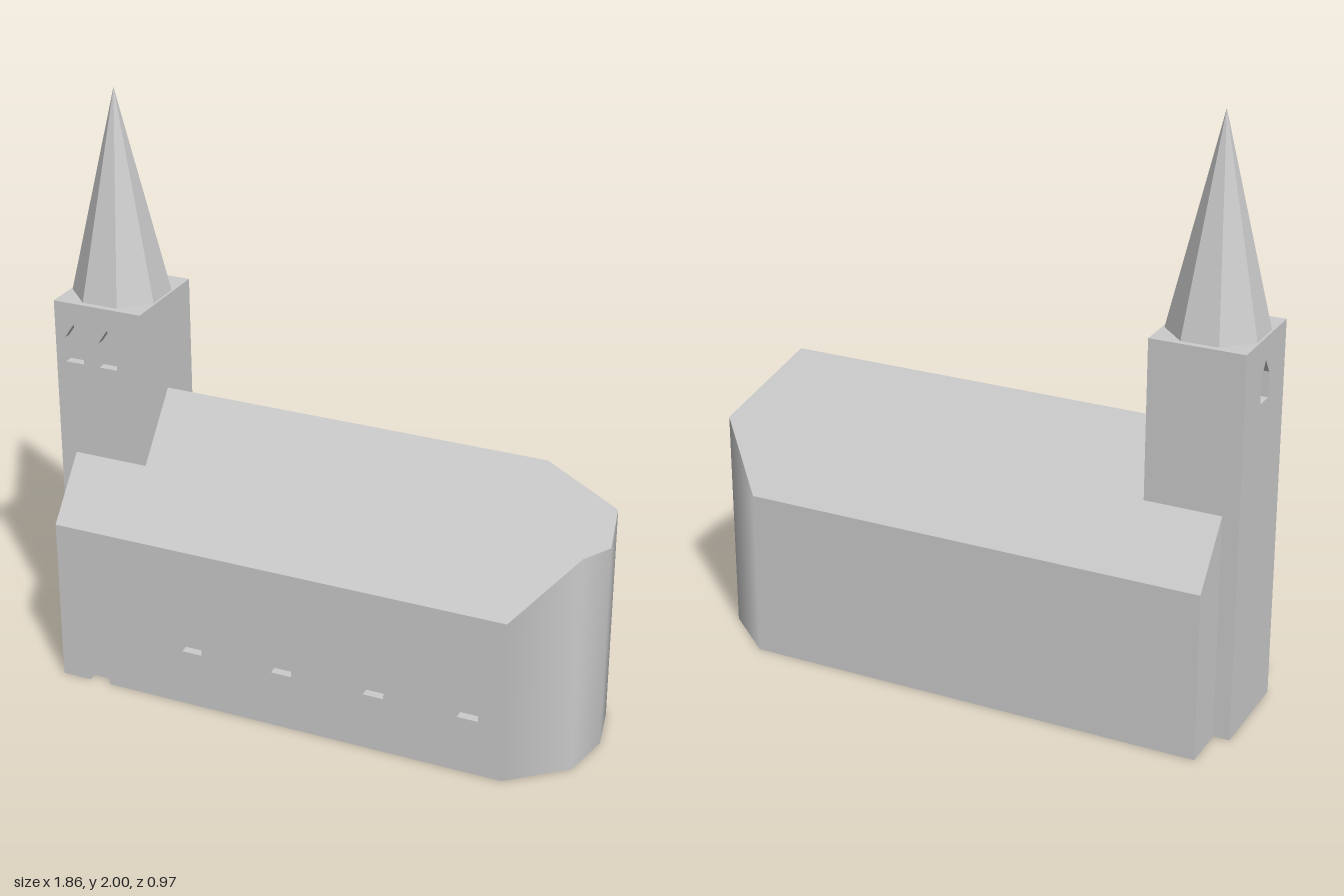
import * as THREE from 'three';

const stone = new THREE.MeshStandardMaterial({ color: 0xcccccc });
stone.name = 'pale stone';

const DEPTH = 0.03; // depth of window and door recesses

function add(parent, name, geometry) {
  const mesh = new THREE.Mesh(geometry, stone);
  mesh.name = name;
  parent.add(mesh);
  return mesh;
}

// Box given by its lower and upper limits
function block(parent, name, [x0, x1], [y0, y1], [z0, z1]) {
  const g = new THREE.BoxGeometry(x1 - x0, y1 - y0, z1 - z0);
  g.translate((x0 + x1) / 2, (y0 + y1) / 2, (z0 + z1) / 2);
  return add(parent, name, g);
}

// Wall slab with openings, its outer face at distance `out` along the turned z axis
function wall(parent, name, outline, openings, out, turn) {
  const side = turn === Math.PI ? -1 : 1;
  const vec = ([x, y]) => new THREE.Vector2(x * side, y);
  const shape = new THREE.Shape(outline.map(vec));
  for (const o of openings) shape.holes.push(new THREE.Path(o.map(vec)));
  const g = new THREE.ExtrudeGeometry(shape, { depth: DEPTH, bevelEnabled: false });
  g.translate(0, 0, out - DEPTH);
  g.rotateY(turn);
  return add(parent, name, g);
}

const rect = (x0, x1, y0, y1) => [[x0, y0], [x1, y0], [x1, y1], [x0, y1]];
const naveWindow = (x) => rect(x - 0.036, x + 0.036, 0.2, 0.415);
const belfryWindow = (x) => [
  [x - 0.033, 1.1], [x + 0.033, 1.1], [x + 0.033, 1.185], [x, 1.235], [x - 0.033, 1.185],
];

function buildNave(church) {
  const nave = new THREE.Group();
  nave.name = 'nave';
  church.add(nave);
  const west = -0.86, east = 0.732, half = 0.332, eaves = 0.575, ridge = 0.985;
  const inner = half - DEPTH;

  block(nave, 'naveCore', [west, east], [0, eaves], [-inner, inner]);

  // Side walls with four windows each, the south one with a doorway
  const windows = [-0.364, -0.038, 0.288, 0.612].map(naveWindow);
  const southOutline = [
    [west, 0], [-0.757, 0], [-0.757, 0.222], [-0.682, 0.222], [-0.682, 0],
    [east, 0], [east, eaves], [west, eaves],
  ];
  wall(nave, 'southWall', southOutline, windows, half, 0);
  wall(nave, 'northWall', rect(west, east, 0, eaves), windows, half, Math.PI);

  // Gabled roof
  const gable = new THREE.Shape([
    new THREE.Vector2(-half, eaves), new THREE.Vector2(half, eaves), new THREE.Vector2(0, ridge),
  ]);
  const roof = new THREE.ExtrudeGeometry(gable, { depth: east - west, bevelEnabled: false });
  roof.rotateY(Math.PI / 2);
  roof.translate(west, 0, 0);
  add(nave, 'naveRoof', roof);

  // Rounded apse: plan points with wall heights, from south to north
  const plan = [
    [east, eaves, half], [0.915, 0.766, 0.177], [0.951, 0.723, 0],
    [0.915, 0.766, -0.177], [east, eaves, -half],
  ];
  const pos = [], index = [], roofPos = [], floorPos = [];
  plan.forEach(([x, y, z], i) => {
    pos.push(x, 0, z, x, y, z);
    if (i === plan.length - 1) return;
    const a = i * 2, next = plan[i + 1];
    index.push(a, a + 2, a + 3, a, a + 3, a + 1);
    roofPos.push(east, ridge, 0, x, y, z, ...next);
    floorPos.push(east, 0, 0, next[0], 0, next[2], x, 0, z);
  });
  const apse = new THREE.BufferGeometry();
  apse.setAttribute('position', new THREE.Float32BufferAttribute(pos, 3));
  apse.setIndex(index);
  apse.computeVertexNormals();
  // Blend the apse smoothly into the straight walls
  for (const i of [0, 1]) {
    apse.attributes.normal.setXYZ(i, 0, 0, 1);
    apse.attributes.normal.setXYZ(8 + i, 0, 0, -1);
  }
  add(nave, 'apseWall', apse);

  for (const [name, points] of [['apseRoof', roofPos], ['apseFloor', floorPos]]) {
    const g = new THREE.BufferGeometry();
    g.setAttribute('position', new THREE.Float32BufferAttribute(points, 3));
    g.computeVertexNormals();
    add(nave, name, g);
  }
}

function buildTower(church) {
  const tower = new THREE.Group();
  tower.name = 'tower';
  church.add(tower);
  const west = -0.916, east = -0.6, half = 0.172, top = 1.31;
  const inner = half - DEPTH;

  block(tower, 'towerCore', [west + DEPTH, east], [0, top], [-inner, inner]);

  // Paired belfry windows north and south, a single one to the west
  const pair = [-0.848, -0.724].map(belfryWindow);
  wall(tower, 'towerSouthWall', rect(west, east, 0, top), pair, half, 0);
  wall(tower, 'towerNorthWall', rect(west, east, 0, top), pair, half, Math.PI);
  wall(tower, 'towerWestWall', rect(-inner, inner, 0, top), [belfryWindow(0)], -west, -Math.PI / 2);

  // Eight-sided spire
  const cone = new THREE.ConeGeometry(0.163, 2 - top, 8, 1).toNonIndexed();
  cone.computeVertexNormals();
  cone.rotateY(Math.PI / 8);
  cone.translate((west + east) / 2, (2 + top) / 2, 0);
  add(tower, 'spire', cone);
}

export function createModel() {
  const model = new THREE.Group();
  model.name = 'church';
  const church = new THREE.Group();
  church.name = 'churchBody';
  buildNave(church);
  buildTower(church);
  // The building stands slightly turned on its plot
  church.rotation.y = -0.199;
  church.position.set(-0.002, 0, 0.01);
  model.add(church);
  return model;
}
